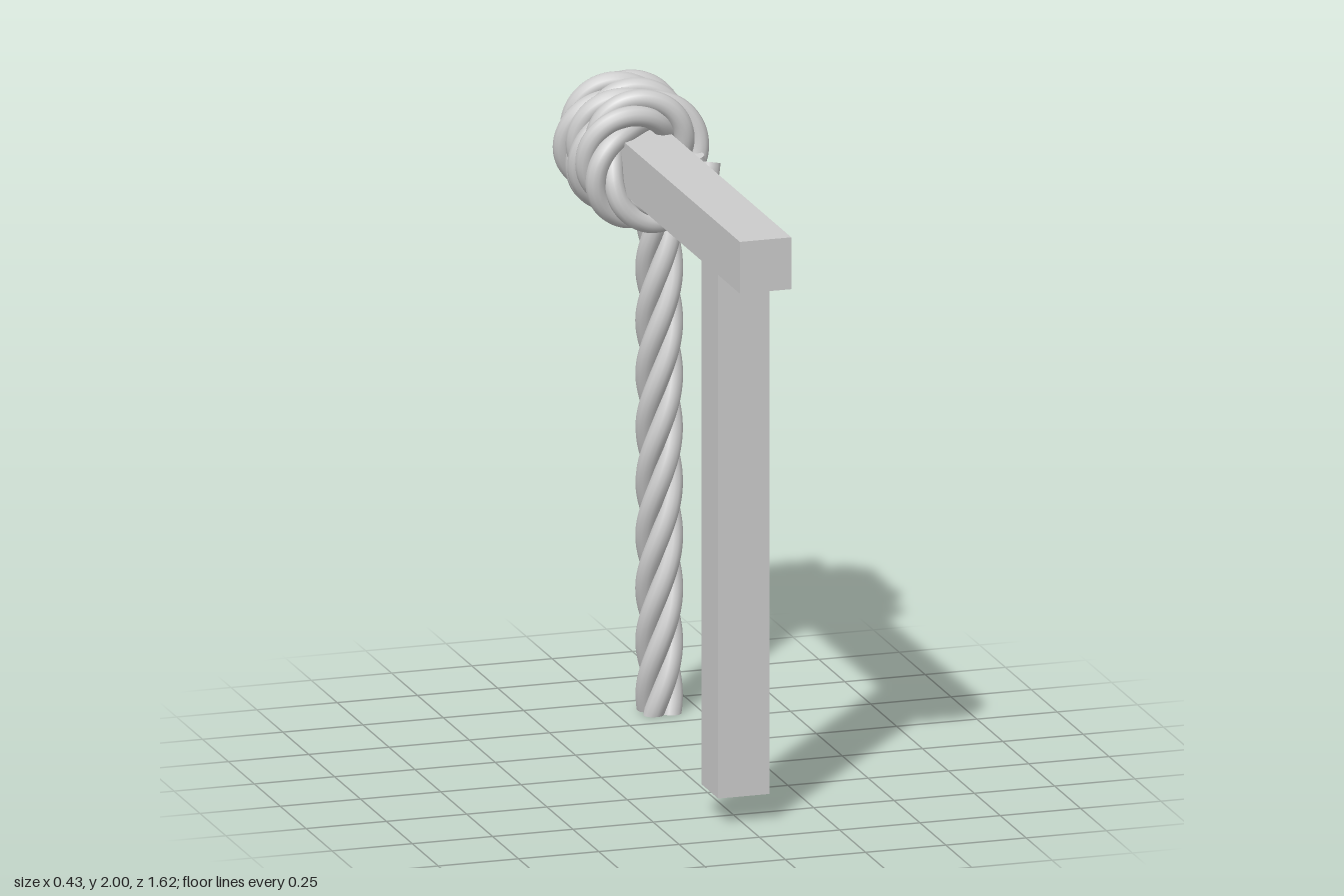
import * as THREE from 'three';

const material = new THREE.MeshStandardMaterial({ color: 0xcccccc });

const STRANDS = 4, STRAND_R = 0.031, LAY_R = 0.04, PITCH = 0.66;
const TURNS = 3, COIL_R = 0.145, COIL_Y = 1.785, Z_START = -0.62, Z_END = -0.295;

function addBox(group, name, size, position) {
  const mesh = new THREE.Mesh(new THREE.BoxGeometry(...size), material);
  mesh.name = name;
  mesh.position.set(...position);
  group.add(mesh);
}

// Centre line of the rope: hangs straight, then coils round the beam
function ropePath() {
  const points = [];
  for (let i = 0; i <= 16; i++) points.push(new THREE.Vector3(0.13, i * 0.1, Z_START));
  const steps = TURNS * 16;
  for (let i = 0; i <= steps; i++) {
    const t = i / steps, a = t * TURNS * Math.PI * 2;
    points.push(new THREE.Vector3(
      COIL_R * Math.cos(a),
      COIL_Y + COIL_R * Math.sin(a),
      THREE.MathUtils.lerp(Z_START, Z_END, t)
    ));
  }
  const path = new THREE.CatmullRomCurve3(points);
  path.arcLengthDivisions = 1500;
  return path;
}

// One strand twisted about the centre line
function strandCurve(path, phase) {
  const length = path.getLength(), samples = 320, points = [];
  for (let i = 0; i <= samples; i++) {
    const u = i / samples;
    const tangent = path.getTangentAt(u);
    const side = new THREE.Vector3(0, 0, 1).addScaledVector(tangent, -tangent.z).normalize();
    const up = new THREE.Vector3().crossVectors(tangent, side);
    const a = phase + (u * length / PITCH) * Math.PI * 2;
    points.push(path.getPointAt(u)
      .addScaledVector(side, LAY_R * Math.cos(a))
      .addScaledVector(up, LAY_R * Math.sin(a)));
  }
  const curve = new THREE.CatmullRomCurve3(points);
  curve.arcLengthDivisions = 1500;
  return curve;
}

// Flat cut end of a strand
function strandEnd(curve, u) {
  const cap = new THREE.Mesh(new THREE.CircleGeometry(STRAND_R, 12), material);
  const point = curve.getPointAt(u);
  const outward = curve.getTangentAt(u).multiplyScalar(u === 0 ? -1 : 1);
  if (u === 0) outward.set(0, -1, 0);
  cap.position.copy(point);
  cap.quaternion.setFromUnitVectors(new THREE.Vector3(0, 0, 1), outward);
  cap.name = 'strandEnd';
  return cap;
}

function buildRope() {
  const rope = new THREE.Group();
  rope.name = 'rope';
  const path = ropePath();
  for (let s = 0; s < STRANDS; s++) {
    const curve = strandCurve(path, Math.PI / 4 + s * Math.PI * 2 / STRANDS);
    const geometry = new THREE.TubeGeometry(curve, 480, STRAND_R, 12);
    // Trim the lower end level with the ground
    const pos = geometry.attributes.position;
    for (let i = 0; i < pos.count; i++) pos.setY(i, i < 13 ? 0 : Math.max(0, pos.getY(i)));
    const strand = new THREE.Mesh(geometry, material);
    strand.name = 'ropeStrand';
    rope.add(strand, strandEnd(curve, 0), strandEnd(curve, 1));
  }
  return rope;
}

export function createModel() {
  const model = new THREE.Group();
  model.name = 'ropeHitchOnPost';
  addBox(model, 'crossBeam', [0.16, 0.16, 1.62], [0, 1.78, 0]);
  addBox(model, 'post', [0.16, 1.615, 0.16], [0, 0.8925, 0.52]);
  model.add(buildRope());
  return model;
}
